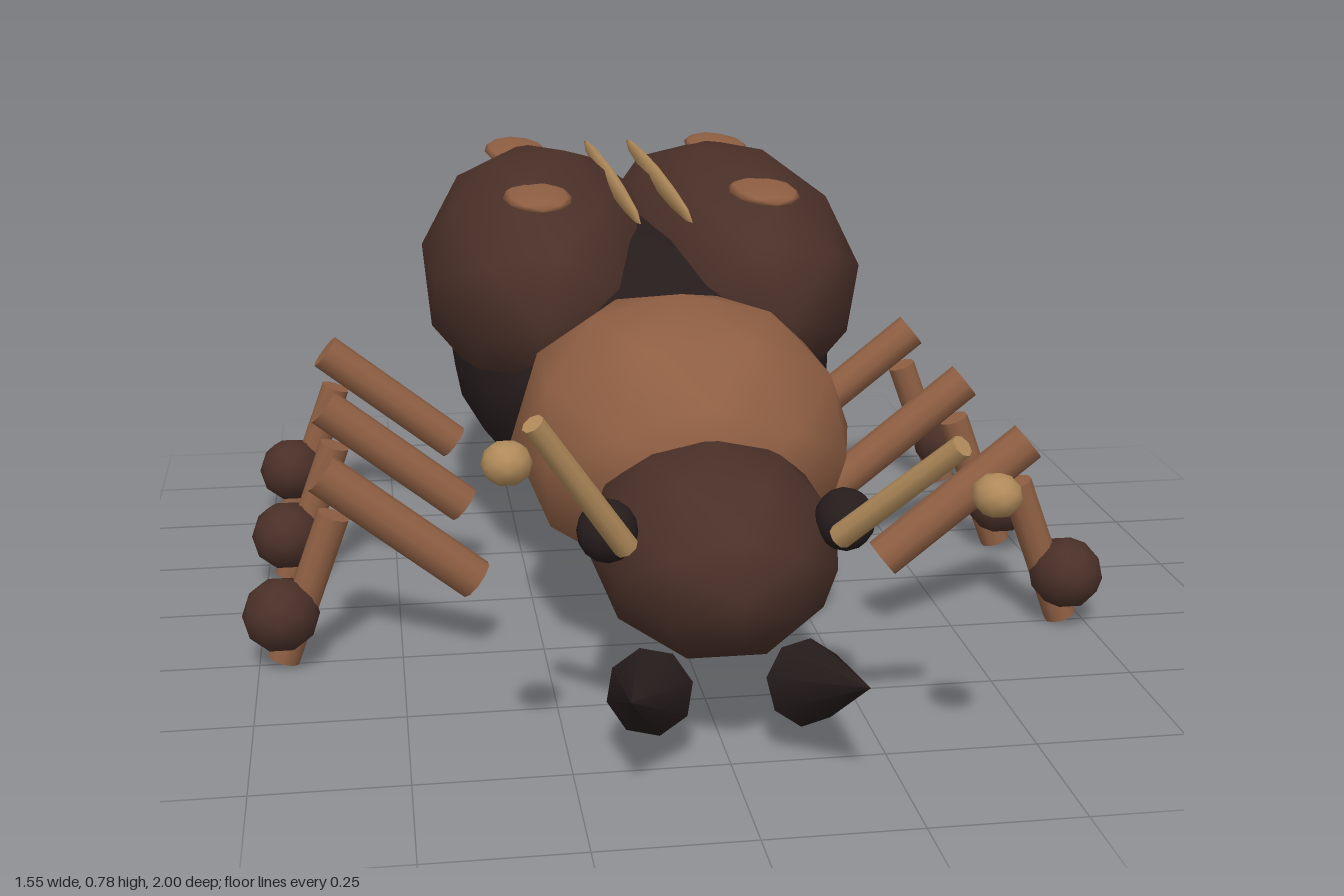
import * as THREE from 'three';

const mat = (name, color) => {
  const m = new THREE.MeshStandardMaterial({ color });
  m.name = name;
  return m;
};

export function createModel() {
  const black = mat('near black', 0x261c1c);
  const dark = mat('dark brown', 0x4a3028);
  const brown = mat('chestnut brown', 0x8f5f43);
  const tan = mat('light tan', 0xb08a5a);

  const model = new THREE.Group();
  model.name = 'beetle';

  // Faceted ellipsoid with smooth normals
  const blob = (name, material, pos, radii, rot = [0, 0, 0], detail = 1) => {
    const mesh = new THREE.Mesh(new THREE.IcosahedronGeometry(1, detail), material);
    mesh.name = name;
    mesh.position.set(...pos);
    mesh.scale.set(...radii);
    mesh.rotation.set(...rot);
    model.add(mesh);
  };

  // Straight rod between two points; end radius 0 gives a cone
  const rod = (name, material, from, to, r0, r1, sides = 10) => {
    const a = new THREE.Vector3(...from), b = new THREE.Vector3(...to);
    const dir = b.clone().sub(a);
    const mesh = new THREE.Mesh(new THREE.CylinderGeometry(r1, r0, dir.length(), sides), material);
    mesh.name = name;
    mesh.position.copy(a).add(b).multiplyScalar(0.5);
    mesh.quaternion.setFromUnitVectors(new THREE.Vector3(0, 1, 0), dir.normalize());
    model.add(mesh);
  };

  // Body
  blob('abdomen', black, [0, 0.4, -0.38], [0.38, 0.285, 0.63], [0.03, 0, 0], 2);
  blob('thorax', brown, [0, 0.39, 0.23], [0.3, 0.25, 0.35]);
  blob('head', dark, [0, 0.305, 0.57], [0.205, 0.172, 0.27]);

  for (const s of [1, -1]) {
    const side = s > 0 ? 'left' : 'right';

    // Wing cases, turned out at the front and rolled towards the seam
    blob(side + 'WingCase', dark, [s * 0.183, 0.55, -0.43], [0.247, 0.24, 0.54], [0, s * 0.074, s * 0.2]);
    blob(side + 'SeamStripe', tan, [s * 0.047, 0.73, -0.41], [0.013, 0.022, 0.47]);
    blob(side + 'RearSpot', brown, [s * 0.215, 0.746, -0.68], [0.065, 0.016, 0.155]);
    blob(side + 'FrontSpot', brown, [s * 0.215, 0.746, -0.14], [0.065, 0.016, 0.135]);

    // Face
    blob(side + 'Eye', black, [s * 0.187, 0.382, 0.695], [0.048, 0.05, 0.052], [0, 0, 0], 2);
    rod(side + 'Mandible', black, [s * 0.125, 0.12, 0.72], [s * 0.18, 0.193, 0.915], 0.07, 0, 8);

    // Feelers, one held higher than the other
    const tip = s > 0 ? [0.31, 0.56, 0.9] : [-0.31, 0.6, 0.83];
    const knob = s > 0 ? [0.346, 0.503, 0.96] : [-0.354, 0.57, 0.915];
    rod(side + 'Antenna', tan, [s * 0.165, 0.375, 0.755], tip, 0.02, 0.018, 8);
    blob(side + 'AntennaKnob', tan, knob, [0.037, 0.033, 0.04]);

    // Legs
    [['Front', 0.247], ['Middle', -0.16], ['Rear', -0.57]].forEach(([row, z]) => {
      rod(side + row + 'UpperLeg', brown, [s * 0.367, 0.14, z], [s * 0.63, 0.35, z], 0.037, 0.037);
      rod(side + row + 'LowerLeg', brown, [s * 0.708, 0.011, z], [s * 0.611, 0.273, z], 0.029, 0.029);
      blob(side + row + 'Foot', dark, [s * 0.708, 0.1, z + 0.015], [0.067, 0.065, 0.075]);
    });
  }
  return model;
}
